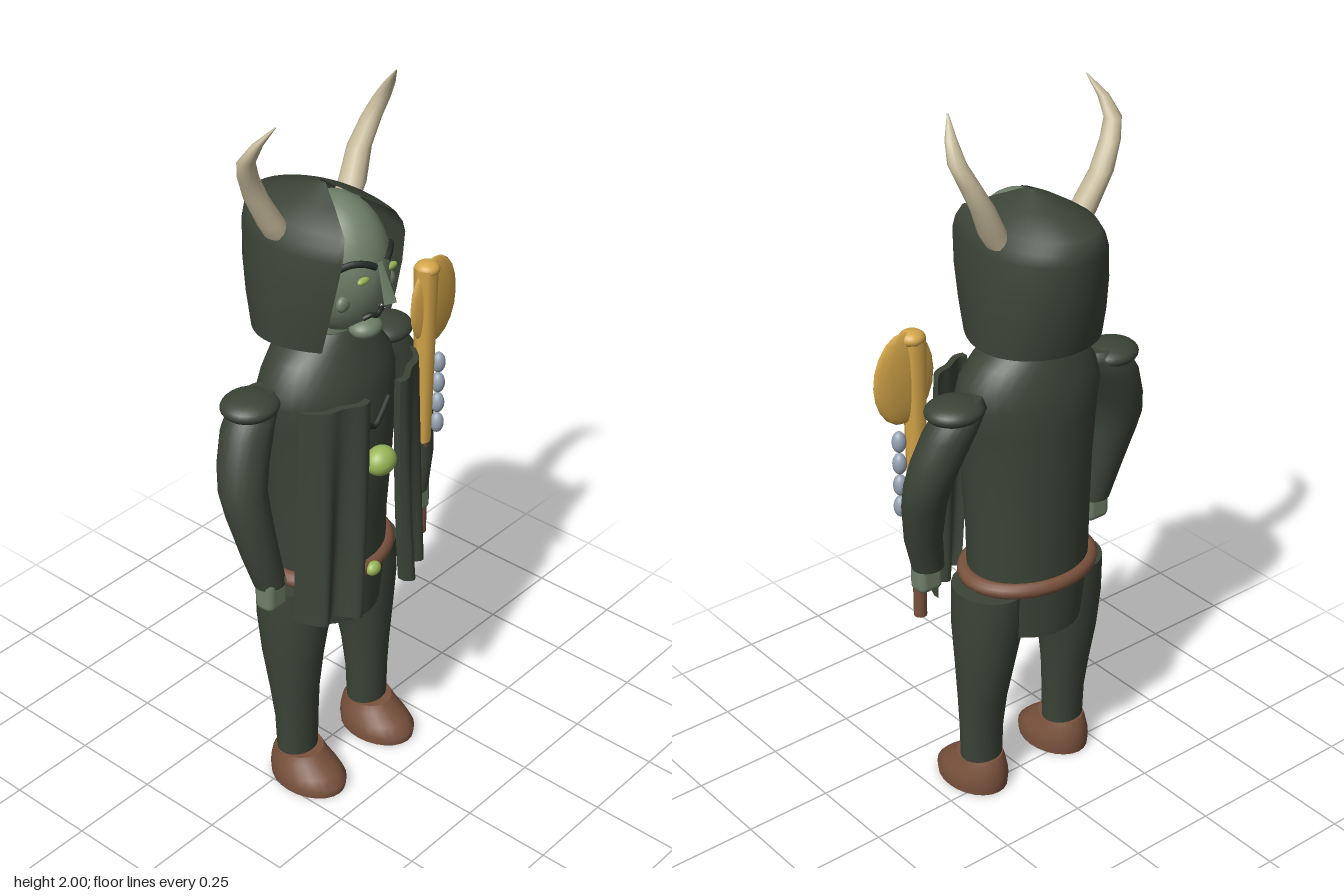
import * as THREE from 'three';
import { RoundedBoxGeometry } from 'three/addons/geometries/RoundedBoxGeometry.js';

const mat = (name, color, side = THREE.FrontSide) => {
  const m = new THREE.MeshStandardMaterial({ color, side });
  m.name = name;
  return m;
};

// Smooth skin over horizontal ellipses [x, y, z, rx, rz], listed from bottom to top.
function loft(sections, seg = 24) {
  const pos = [], idx = [];
  const ring = ([x, y, z, rx, rz]) => {
    const start = pos.length / 3;
    for (let j = 0; j < seg; j++) {
      const a = (j / seg) * Math.PI * 2;
      pos.push(x + rx * Math.cos(a), y, z + rz * Math.sin(a));
    }
    return start;
  };
  const rows = sections.map(ring);
  for (let i = 0; i < rows.length - 1; i++) {
    for (let j = 0; j < seg; j++) {
      const k = (j + 1) % seg, a = rows[i], b = rows[i + 1];
      idx.push(a + j, b + j, a + k, b + j, b + k, a + k);
    }
  }
  [sections[0], sections.at(-1)].forEach((s, top) => {
    const r = ring(s), c = pos.length / 3;
    pos.push(s[0], s[1], s[2]);
    for (let j = 0; j < seg; j++) {
      const k = (j + 1) % seg;
      idx.push(c, top ? r + k : r + j, top ? r + j : r + k);
    }
  });
  const g = new THREE.BufferGeometry();
  g.setAttribute('position', new THREE.Float32BufferAttribute(pos, 3));
  g.setIndex(idx);
  g.computeVertexNormals();
  return g;
}

// Open-fronted hood; each row is [y, half width, back z, edge x, edge z].
function hoodGeometry() {
  const rows = [
    [1.38, 0.175, -0.19, 0.13, 0.10], [1.46, 0.175, -0.212, 0.13, 0.12],
    [1.55, 0.172, -0.228, 0.127, 0.14], [1.64, 0.16, -0.237, 0.118, 0.155],
    [1.67, 0.148, -0.235, 0.11, 0.153], [1.70, 0.128, -0.222, 0.095, 0.142],
    [1.735, 0.07, -0.12, 0.046, 0.07], [1.768, 0.003, -0.02, 0.002, 0],
  ];
  const n = 14, cols = 4 * n + 1, pos = [], idx = [];
  rows.forEach(([y, rx, back, ex, ez], i) => {
    const zc = THREE.MathUtils.lerp(back, ez, 0.53);
    for (let c = 0; c < cols; c++) {
      const t = (c - 2 * n) / n, s = Math.sign(t), u = Math.abs(t);
      const a = Math.min(u, 1) * Math.PI / 2, f = Math.max(0, u - 1);
      pos.push(s * (rx * Math.sin(a) + (ex - rx) * f * f), y, u < 1 ? zc + (back - zc) * Math.cos(a) : zc + (ez - zc) * f);
      if (i && c) {
        const p = i * cols + c, q = p - cols;
        idx.push(q - 1, q, p - 1, q, p, p - 1);
      }
    }
  });
  const g = new THREE.BufferGeometry();
  g.setAttribute('position', new THREE.Float32BufferAttribute(pos, 3));
  // Columns run from -x round the back to +x, so reverse to face outward.
  g.setIndex(idx.reverse());
  g.computeVertexNormals();
  return g;
}

// Hanging cloth panel with folds that deepen toward the hem.
function capeGeometry(s) {
  const g = new THREE.BoxGeometry(1, 1, 0.02, 20, 12, 1), p = g.attributes.position;
  for (let i = 0; i < p.count; i++) {
    const u = 0.5 + s * p.getX(i), v = 0.5 - p.getY(i);
    const inner = 0.058 + 0.03 * v * v, outer = 0.215 + 0.02 * v;
    const fold = (0.006 + 0.016 * v) * Math.sin(u * Math.PI * 3.2);
    p.setXYZ(i, s * (inner + (outer - inner) * u), 1.25 - 0.64 * v,
      0.188 - 0.075 * u * u + fold + p.getZ(i));
  }
  g.computeVertexNormals();
  return g;
}

export function createModel() {
  const model = new THREE.Group();
  const body = new THREE.Group();
  body.name = 'figure';
  body.position.x = -0.025;
  model.add(body);

  const cloth = mat('dark green cloth', 0x3b4437);
  const hoodCloth = mat('hood cloth', 0x3b4437, THREE.DoubleSide);
  const skin = mat('grey green skin', 0x6f8069);
  const dark = mat('dark hair', 0x232a24);
  const leather = mat('brown leather', 0x7a523d);
  const horn = mat('horn', 0xc9bd9d);
  const gold = mat('gold', 0xd3a549);
  const gem = mat('green gem', 0x9ab85a);
  const silver = mat('silver', 0x96a3b3);

  const add = (name, geo, m, x = 0, y = 0, z = 0) => {
    const mesh = new THREE.Mesh(geo, m);
    mesh.name = name;
    mesh.position.set(x, y, z);
    body.add(mesh);
    return mesh;
  };
  const ball = (name, m, x, y, z, rx, ry = rx, rz = rx) =>
    add(name, new THREE.SphereGeometry(1, 28, 18), m, x, y, z).scale.set(rx, ry, rz);
  const tube = (name, m, pts, r) => add(name, new THREE.TubeGeometry(
    new THREE.CatmullRomCurve3(pts.map((p) => new THREE.Vector3(...p))), 16, r, 8), m);
  const faceZ = (x, y) => 0.03 + 0.15 * Math.sqrt(1 - (x / 0.125) ** 2 - ((y - 1.565) / 0.185) ** 2);

  // Torso and tunic skirt
  add('torso', loft([
    [0, 0.66, 0.0, 0.175, 0.145], [0, 0.8, 0.0, 0.177, 0.147], [0, 1.0, 0.005, 0.185, 0.157],
    [0, 1.15, 0.003, 0.2, 0.155], [0, 1.22, 0, 0.212, 0.15], [0, 1.27, 0, 0.2, 0.137],
    [0, 1.32, -0.005, 0.165, 0.12], [0, 1.36, -0.005, 0.118, 0.102], [0, 1.385, -0.005, 0.08, 0.09],
  ], 32), cloth);
  add('tunicSkirt', loft([[0, 0.525, 0, 0.145, 0.142], [0, 0.6, 0, 0.16, 0.145], [0, 0.7, 0, 0.175, 0.148]], 32), cloth);
  tube('collar', dark, [[-0.065, 1.19, 0.155], [-0.03, 1.155, 0.16], [0, 1.13, 0.162], [0.03, 1.155, 0.16], [0.065, 1.19, 0.155]], 0.007);
  const belt = add('belt', new THREE.TorusGeometry(1, 0.13, 12, 40), leather, 0, 0.685, 0);
  belt.rotation.x = Math.PI / 2;
  belt.scale.set(0.182, 0.146, 0.17);
  ball('beltGem', gem, 0, 0.685, 0.165, 0.024, 0.02, 0.018);
  ball('brooch', gem, 0, 1.037, 0.185, 0.046, 0.04, 0.038);

  // Head and face
  add('neck', new THREE.CylinderGeometry(0.08, 0.085, 0.12, 24), skin, 0, 1.4, -0.005);
  ball('head', skin, 0, 1.565, 0.03, 0.125, 0.185, 0.15);
  ball('chin', skin, 0, 1.412, 0.13, 0.047, 0.027, 0.04);
  add('nose', new THREE.CylinderGeometry(0.008, 0.022, 0.105, 4), skin, 0, 1.56, 0.191).rotation.x = -0.33;
  tube('mouth', dark, [[-0.036, 1.458, 0.152], [-0.018, 1.465, 0.162], [0, 1.458, 0.166],
    [0.018, 1.465, 0.162], [0.036, 1.458, 0.152]], 0.007);
  add('hood', hoodGeometry(), hoodCloth);

  for (const s of [1, -1]) {
    const side = s > 0 ? 'left' : 'right';
    ball(side + 'Eye', gem, s * 0.052, 1.575, faceZ(0.052, 1.575), 0.021, 0.01, 0.009);
    ball(side + 'CheekWart', skin, s * 0.086, 1.512, faceZ(0.086, 1.512), 0.022, 0.022, 0.014);
    tube(side + 'Brow', dark, [[0.02, 1.605], [0.045, 1.618], [0.075, 1.62], [0.098, 1.605]]
      .map(([x, y]) => [s * x, y, faceZ(x, y) + 0.003]), 0.009);

    add(side + 'Horn', loft([
      [s * 0.125, 1.66, -0.045, 0.036, 0.036], [s * 0.15, 1.7, -0.045, 0.036, 0.036],
      [s * 0.19, 1.78, -0.057, 0.031, 0.032], [s * 0.225, 1.85, -0.048, 0.027, 0.027],
      [s * 0.246, 1.9, -0.033, 0.024, 0.022], [s * 0.24, 1.95, -0.003, 0.016, 0.014],
      [s * 0.218, 2.0, 0.036, 0.002, 0.002],
    ], 14), horn);

    // Shoulder pad, sleeve and hand
    ball(side + 'ShoulderPad', cloth, s * 0.26, 1.24, -0.025, 0.08, 0.033, 0.073);
    add(side + 'Sleeve', loft([
      [s * 0.29, 0.75, 0.06, 0.045, 0.04], [s * 0.312, 0.85, 0.048, 0.053, 0.047],
      [s * 0.326, 0.97, 0.022, 0.061, 0.057], [s * 0.326, 1.03, 0.006, 0.064, 0.062],
      [s * 0.308, 1.1, -0.008, 0.068, 0.066], [s * 0.275, 1.18, -0.022, 0.072, 0.066],
      [s * 0.24, 1.24, -0.028, 0.068, 0.06], [s * 0.22, 1.265, -0.028, 0.04, 0.035],
    ]), cloth);
    add(side + 'Hand', new RoundedBoxGeometry(0.076, 0.1, 0.06, 3, 0.02), skin, s * 0.292, 0.728, 0.066);
    add(side + 'CapePanel', capeGeometry(s), cloth);

    // Leg and boot
    add(side + 'Leg', loft([
      [s * 0.148, 0.08, 0.022, 0.061, 0.052], [s * 0.148, 0.2, 0.02, 0.064, 0.056],
      [s * 0.149, 0.3, 0.014, 0.069, 0.068], [s * 0.146, 0.42, 0.006, 0.08, 0.088],
      [s * 0.138, 0.54, 0.003, 0.096, 0.103], [s * 0.132, 0.66, 0, 0.098, 0.11],
    ]), cloth);
    add(side + 'Boot', loft([
      [s * 0.148, 0, 0.062, 0.085, 0.116], [s * 0.148, 0.025, 0.062, 0.087, 0.119],
      [s * 0.148, 0.05, 0.05, 0.081, 0.105], [s * 0.148, 0.08, 0.034, 0.07, 0.083],
      [s * 0.148, 0.1, 0.03, 0.064, 0.068],
    ]), leather);
  }

  // Ceremonial mace with a thin round blade, held in the left hand
  add('maceHandle', new THREE.CylinderGeometry(0.018, 0.018, 0.34, 12), leather, 0.31, 0.77, 0.072);
  add('maceShaft', new THREE.CylinderGeometry(0.033, 0.024, 0.53, 8), gold, 0.312, 1.165, 0.07);
  ball('maceTop', gold, 0.316, 1.425, 0.07, 0.034, 0.022, 0.034);
  const blade = add('maceBlade', new THREE.SphereGeometry(1, 12, 10), gold, 0.345, 1.32, 0.07);
  blade.scale.set(0.094, 0.128, 0.02);
  for (let i = 0; i < 4; i++) ball('chainBead' + (i + 1), silver, 0.352, 1.133 - i * 0.063, 0.088, 0.019, 0.03, 0.019);

  return model;
}
